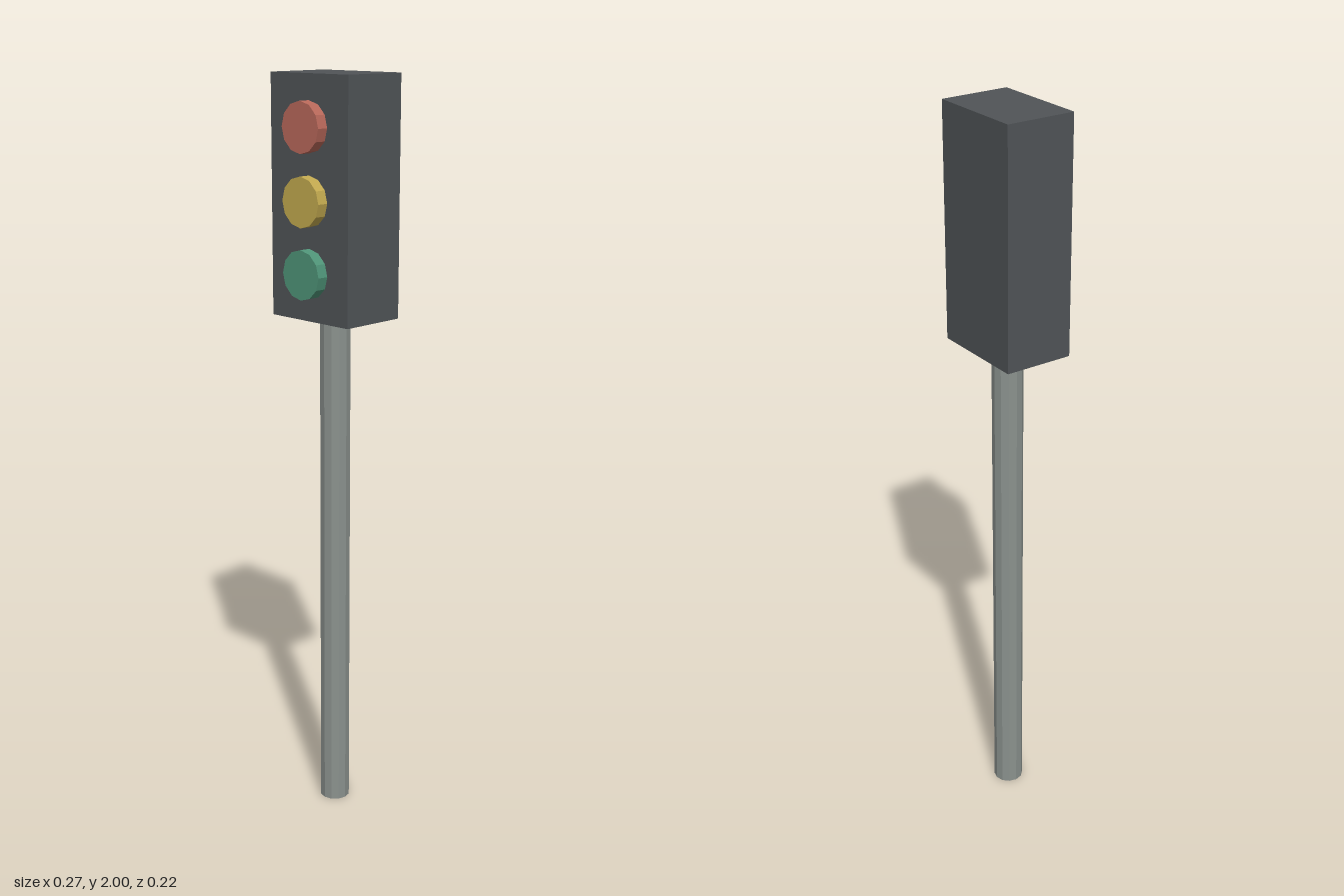
import * as THREE from 'three';

const mat = (name, color) => {
  const m = new THREE.MeshStandardMaterial({ color, flatShading: true });
  m.name = name;
  return m;
};

export function createModel() {
  const group = new THREE.Group();
  const add = (name, geometry, material, x, y, z) => {
    const mesh = new THREE.Mesh(geometry, material);
    mesh.name = name;
    mesh.position.set(x, y, z);
    group.add(mesh);
  };

  const axisZ = -0.0155; // pole and housing share this axis

  // Pole
  const poleHeight = 1.386;
  add('pole', new THREE.CylinderGeometry(0.041, 0.041, poleHeight, 12),
    mat('pole grey', 0x8a918d), 0, poleHeight / 2, axisZ);

  // Signal housing
  const housingHeight = 2 - poleHeight;
  add('housing', new THREE.BoxGeometry(0.27, housingHeight, 0.187),
    mat('housing charcoal', 0x505457), 0, poleHeight + housingHeight / 2, axisZ);

  // Lamps, top to bottom, half sunk into the housing front
  const lampGeometry = new THREE.CylinderGeometry(0.064, 0.064, 0.06, 12).rotateX(Math.PI / 2);
  const lamps = [
    ['redLamp', 'lamp red', 0xb8685a, 1.872],
    ['yellowLamp', 'lamp yellow', 0xc2a94f, 1.69],
    ['greenLamp', 'lamp green', 0x4f9478, 1.508],
  ];
  for (const [name, colourName, colour, y] of lamps) {
    add(name, lampGeometry, mat(colourName, colour), 0, y, 0.079);
  }

  return group;
}
